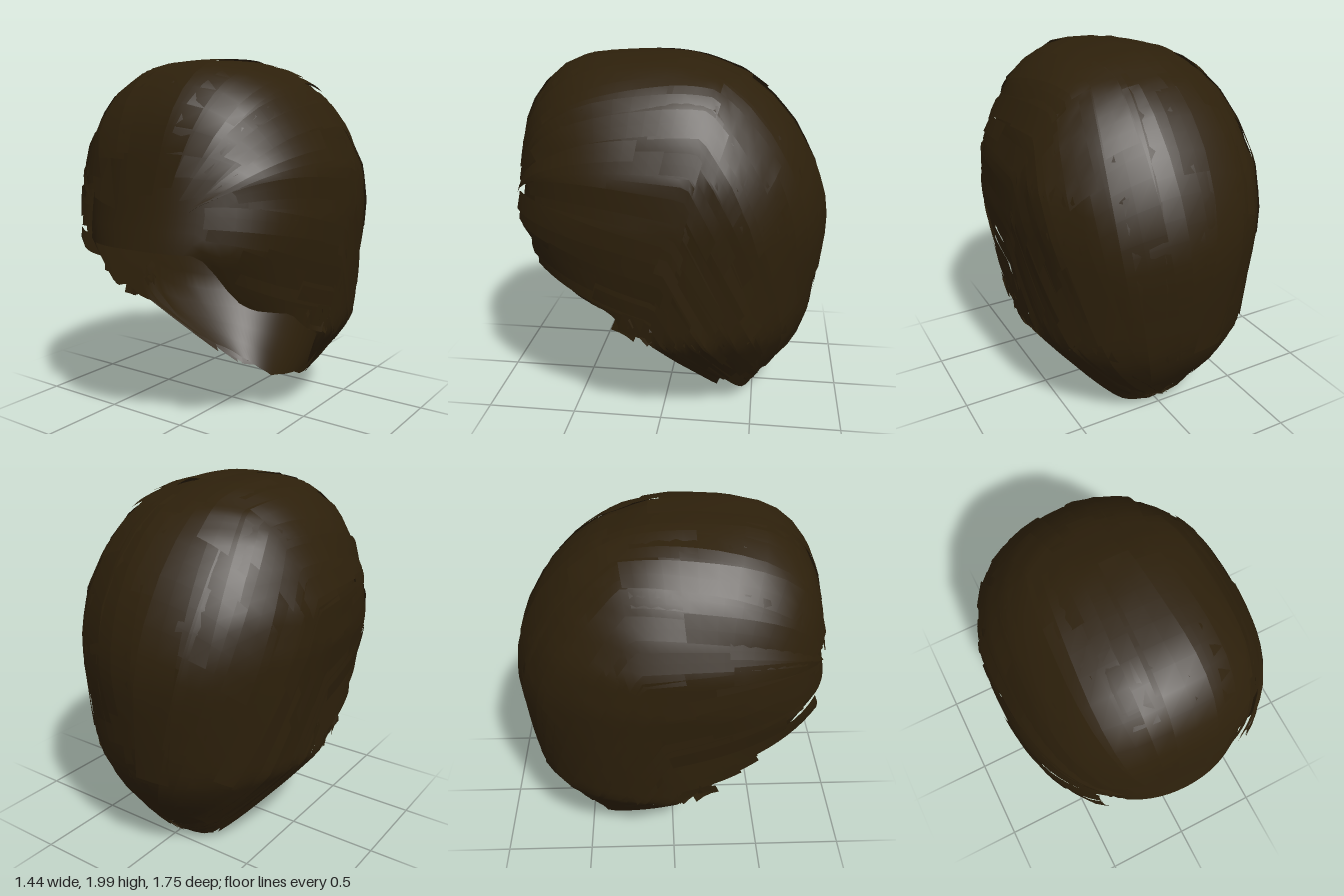
import * as THREE from 'three';
import { mergeGeometries, mergeVertices } from 'three/addons/utils/BufferGeometryUtils.js';

// Horizontal sections of the hair: y, half width, front z, back z, centre z
const SECTIONS = [
  [0, .13, -.3, -.44, -.42], [.06, .22, -.15, -.47, -.36], [.2, .35, .05, -.58, -.22],
  [.4, .52, .3, -.725, -.05], [.55, .635, .5, -.79, 0], [.8, .655, .72, -.82, 0],
  [1.06, .675, .87, -.85, 0], [1.2, .69, .84, -.84, 0], [1.4, .68, .805, -.78, 0],
  [1.6, .605, .77, -.67, 0], [1.75, .52, .705, -.54, 0], [1.85, .425, .625, -.41, 0],
  [1.92, .32, .53, -.24, .05], [1.955, .2, .42, -.13, .1], [1.975, .01, .12, .08, .1],
];
const TOP = 1.975;
// Lower edge of the hair: angle from the front, y
const RIM = [[0, 1.06], [.5, 1.05], [.6, .93], [.69, .8], [.81, .735], [1.15, .69], [1.28, .6],
  [1.55, .51], [1.62, .3], [1.75, .2], [2.1, .1], [2.6, .04], [Math.PI, .01]];

function lookup(table, key) {
  let i = 1;
  while (i < table.length - 1 && table[i][0] < key) i++;
  const a = table[i - 1], b = table[i];
  const t = THREE.MathUtils.clamp((key - a[0]) / (b[0] - a[0]), 0, 1);
  return a.map((v, k) => v + (b[k] - v) * t);
}
const rimY = (angle) => lookup(RIM, Math.abs(angle))[1];

let seed = 7;
const rand = () => (seed = (seed * 16807) % 2147483647) / 2147483647;

// Superellipse powers: the locks are squarer at the temples than the scalp
const ROUND = 2.2, SQUARE = 2.6;
const bulge = (v) => Math.sign(v) * Math.pow(Math.abs(v), 2 / ROUND);

// Point on the scalp, which lies a little inside the locks beside the face
function scalpPoint(angle, y) {
  const [, w, zf, zb, zc] = lookup(SECTIONS, y);
  const c = bulge(Math.cos(angle));
  const inset = .04 * THREE.MathUtils.smoothstep(1.1 - y, 0, .4) * THREE.MathUtils.smoothstep(y, .2, .5);
  return [w * (1 - inset) * bulge(Math.sin(angle)), y, zc + c * (c > 0 ? zf - zc : zc - zb)];
}

// Sheet of triangles from a grid of points
function grid(rows) {
  const n = rows[0].length, index = [];
  for (let r = 0; r < rows.length - 1; r++)
    for (let c = 0; c < n - 1; c++) {
      const a = r * n + c, b = a + 1, d = a + n, e = d + 1;
      index.push(a, b, e, a, e, d);
    }
  const g = new THREE.BufferGeometry();
  g.setAttribute('position', new THREE.Float32BufferAttribute(rows.flat(2), 3));
  g.setIndex(index);
  return g;
}

// Smooth cap, open at the face and neck
function scalpGeometry() {
  const rows = [];
  for (let r = 0; r <= 28; r++) {
    const row = [];
    for (let c = 0; c <= 96; c++) {
      const angle = (c / 96 * 2 - 1) * Math.PI, low = rimY(angle);
      row.push(scalpPoint(angle, low + (TOP - low) * Math.sin(r / 28 * Math.PI / 2)));
    }
    rows.push(row);
  }
  const g = mergeVertices(grid(rows), 1e-4);
  g.computeVertexNormals();
  return g;
}

const CENTRE = new THREE.Vector3(0, 1, -.05);
const NAPE = new THREE.Vector3(0, -.8, -.42);
const UP = new THREE.Vector3(0, .95, -.25);

function sectionAt(p) {
  const [, w, zf, zb, zc] = lookup(SECTIONS, p.y);
  const dz = p.z - zc;
  return [p.x / w, dz / (dz > 0 ? zf - zc : zc - zb)];
}
function inside(p) {
  if (p.y > TOP || p.y < 0) return false;
  const [a, b] = sectionAt(p);
  const power = b > 0 ? SQUARE : ROUND;
  return Math.abs(a) ** power + Math.abs(b) ** power < 1;
}

// Point on the hair flow, which runs from the forehead (along 0) to the nape (along PI);
// locks near the middle start lower so that the fringe hangs straight
function flowPoint(along, around, lift) {
  const c = Math.cos(along), s = Math.sin(along);
  const front = new THREE.Vector3(0, .25 - .6 * Math.max(0, Math.cos(around)) ** 2, .95);
  const dir = new THREE.Vector3(Math.sin(around) * s, 0, 0)
    .addScaledVector(UP, Math.cos(around) * s)
    .addScaledVector(c > 0 ? front : NAPE, Math.abs(c)).normalize();
  let lo = 0, hi = 1.6;
  for (let i = 0; i < 18; i++) {
    const mid = (lo + hi) / 2;
    if (inside(CENTRE.clone().addScaledVector(dir, mid))) lo = mid; else hi = mid;
  }
  return CENTRE.clone().addScaledVector(dir, lo + lift);
}

// One flat lock following the head, tilted so its edge shows, trimmed at the hairline
function lock(start, length, around, halfWidth, lift, trim) {
  const rows = [], steps = 14, tilt = (rand() - .5) * .012;
  for (let i = 0; i <= steps; i++) {
    const along = start + length * i / steps;
    const spread = halfWidth / (.85 * Math.max(.25, Math.sin(along)));
    const rise = lift + .008 * i / steps;
    const mid = flowPoint(along, around, rise);
    const [sx, sz] = sectionAt(mid);
    const angle = Math.abs(Math.atan2(sx, sz));
    const margin = trim * Math.max(0, 1 - angle / 1.45);
    if (mid.y < rimY(angle) + margin) {
      if (rows.length) break;
      continue;
    }
    rows.push([-1, 0, 1].map((k) => flowPoint(along, around + k * spread, rise + k * tilt).toArray()));
  }
  return rows.length > 2 ? grid(rows) : null;
}

function lockRow(start, length, columns, layer) {
  const locks = [];
  for (let i = 0; i < columns; i++) {
    const around = ((i + .5 + (rand() - .5) * .4) / columns * 2 - 1) * 2.15;
    const g = lock(start + (rand() - .5) * .55, length * (.8 + rand() * .4), around,
      .05 + rand() * .015, .006 + layer * .002 + rand() * .016, .26 + rand() * .28);
    if (g) locks.push(g);
  }
  const merged = mergeGeometries(locks);
  merged.computeVertexNormals();
  return merged;
}

// Short ragged wisps in front of the ear
function wispGeometry() {
  const wisps = [];
  for (let i = 0; i < 16; i++) {
    const g = new THREE.PlaneGeometry(.035 + rand() * .03, .1 + rand() * .07, 1, 3);
    const p = g.attributes.position;
    for (let k = 0; k < p.count; k++) p.setZ(k, p.getY(k) ** 2 * 3);
    g.rotateZ((rand() - .5) * 2.4);
    g.rotateY(Math.PI / 2 + (rand() - .5) * .8);
    g.translate(.61 + rand() * .035, .6 + rand() * .13, -.02 + rand() * .19);
    wisps.push(g);
  }
  const merged = mergeGeometries(wisps);
  merged.computeVertexNormals();
  return merged;
}

export function createModel() {
  const model = new THREE.Group();
  model.name = 'hair';
  const brown = new THREE.MeshStandardMaterial({ color: 0x2d200b, side: THREE.DoubleSide });
  brown.name = 'dark brown';
  const add = (name, geometry) => {
    const mesh = new THREE.Mesh(geometry, brown);
    mesh.name = name;
    model.add(mesh);
    return mesh;
  };

  add('scalpCap', scalpGeometry());
  add('napeLocks', lockRow(2.1, .95, 32, 0));
  add('backLocks', lockRow(1.6, .9, 40, 1));
  add('crownLocks', lockRow(1.05, .9, 42, 2));
  add('fringeLocks', lockRow(.5, .95, 36, 3));

  const wisps = wispGeometry();
  add('leftEarWisps', wisps);
  add('rightEarWisps', wisps).scale.x = -1;
  return model;
}
